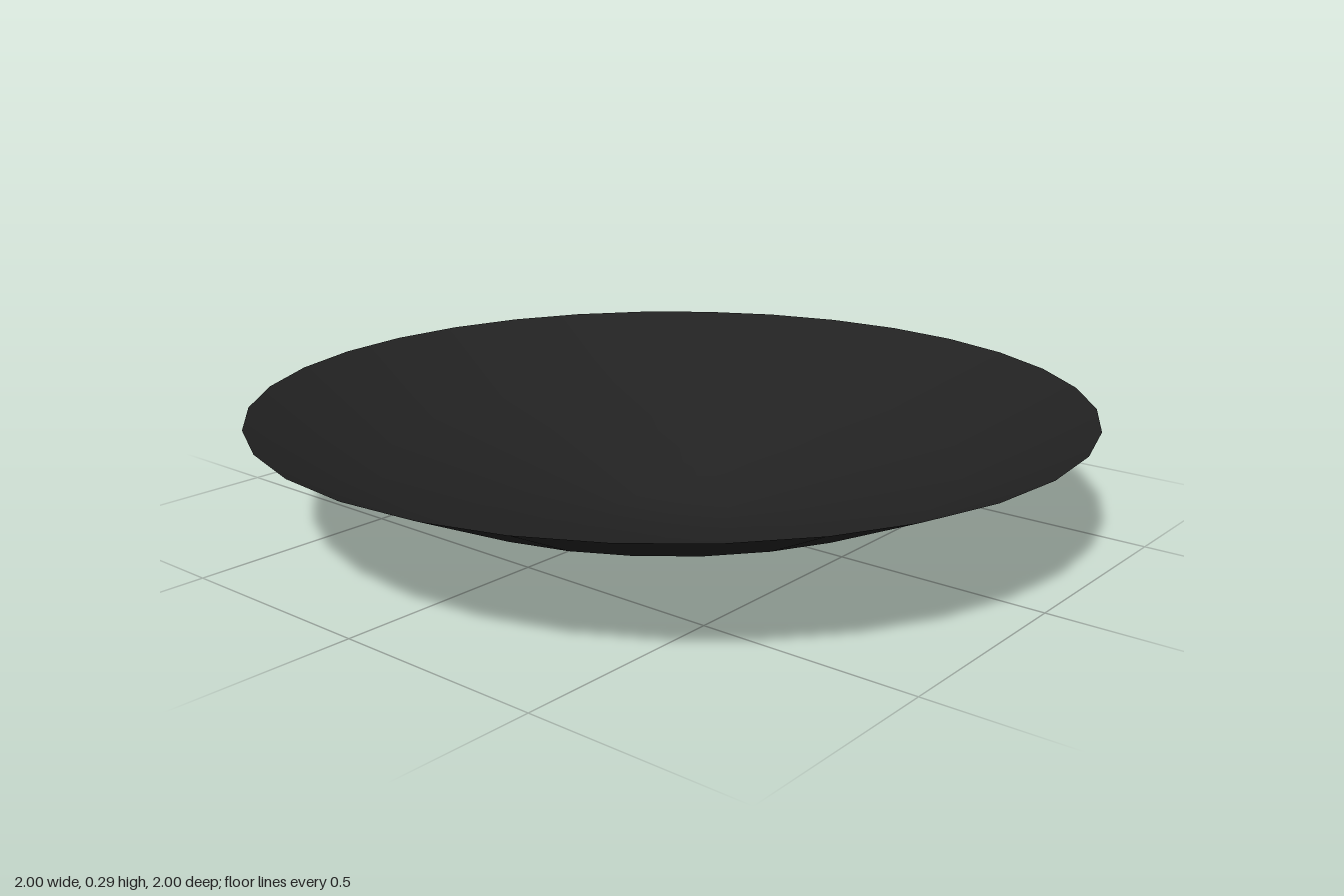
import * as THREE from 'three';

export function createModel() {
  const group = new THREE.Group();
  group.name = 'dish';

  // Shallow open bowl: flat base, gently sloped wall, steeper flared rim
  const profile = [
    [0, 0],
    [0.14, 0],
    [0.7, 0.147],
    [1, 0.287],
  ].map(([r, y]) => new THREE.Vector2(r, y));

  const material = new THREE.MeshStandardMaterial({ color: 0x222222, side: THREE.DoubleSide });
  const bowl = new THREE.Mesh(new THREE.LatheGeometry(profile, 32), material);
  bowl.name = 'bowl';
  group.add(bowl);

  return group;
}
